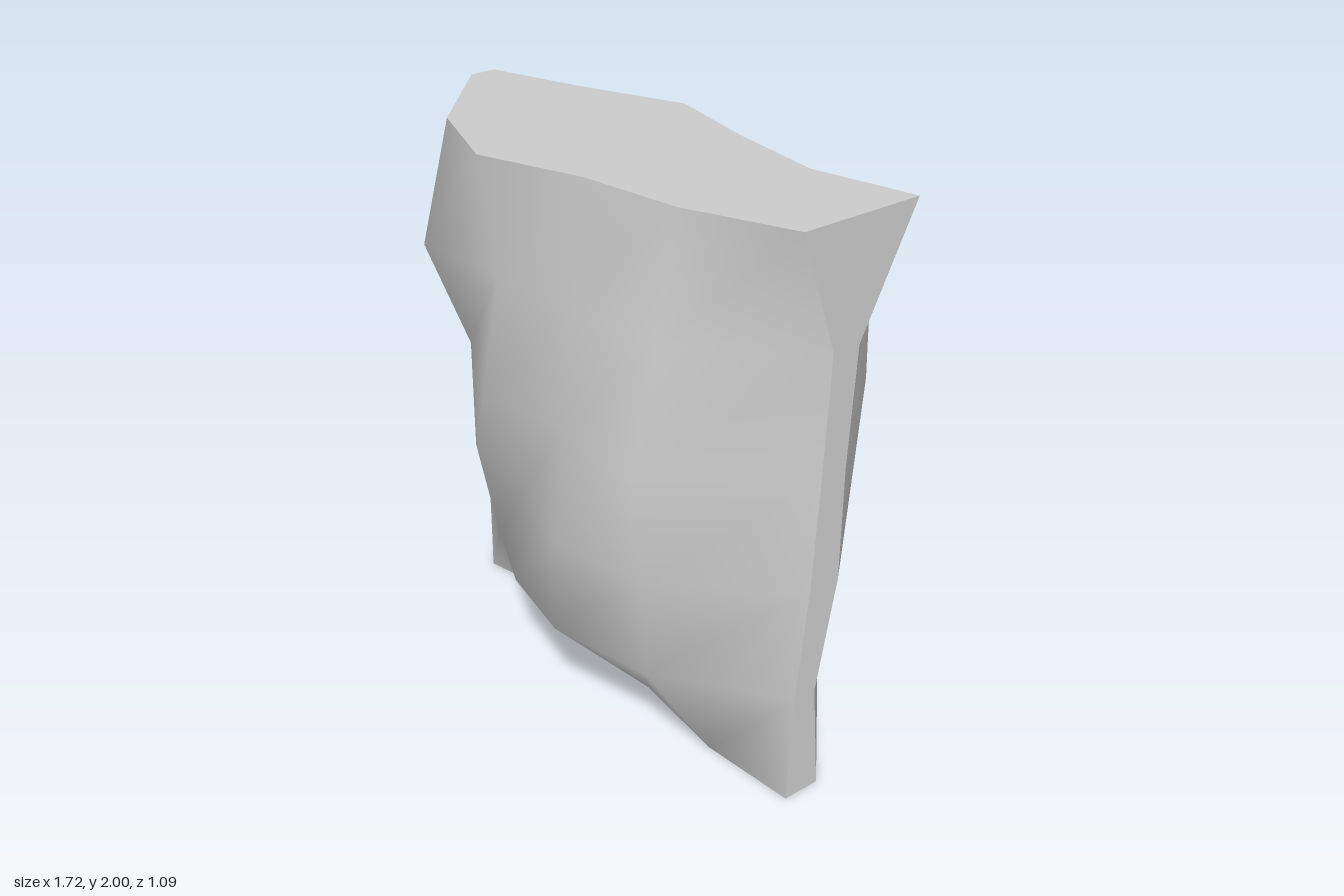
import * as THREE from 'three';

const WIDTH = 1.72, HEIGHT = 2, CELLS = 5;

// Grids of the two broad faces: rows run bottom to top, columns from -x to +x.
// z is the depth of each point, shift its sideways drift (upper rows stay in line).
const FRONT = {
  z: [
    [0.14, 0.055, 0.15, 0.12, 0.15, 0.11],
    [0.135, 0.31, 0.43, 0.48, 0.385, 0.095],
    [0.17, 0.385, 0.4, 0.515, 0.44, 0.055],
    [0.11, 0.38, 0.545, 0.47, 0.48, 0.035],
    [0.11, 0.53, 0.47, 0.445, 0.375, 0.02],
    [0.11, 0.415, 0.52, 0.38, 0.31, 0.155],
  ],
  shift: [
    [0, 0, -0.035, -0.04, 0, 0],
    [0, 0, -0.05, -0.08, -0.05, 0],
    [0, 0, 0, -0.01, 0, 0],
  ],
};
const BACK = {
  z: [
    [-0.055, -0.125, -0.15, -0.17, -0.19, -0.025],
    [0.03, -0.29, -0.43, -0.5, -0.41, 0.01],
    [0.1, -0.36, -0.48, -0.525, -0.485, -0.06],
    [0, -0.375, -0.548, -0.485, -0.505, -0.06],
    [-0.01, -0.36, -0.37, -0.42, -0.465, -0.08],
    [0.02, -0.11, -0.265, -0.21, -0.18, -0.275],
  ],
  shift: [
    [0, 0, -0.05, -0.08, -0.025, 0],
    [0, 0, -0.07, -0.12, -0.09, 0],
    [0, 0, -0.08, -0.17, -0.146, 0],
    [0, 0, -0.028, -0.11, -0.026, 0],
  ],
};

// Normals averaged over both ways of splitting each quad, for even shading.
// Each box side keeps its own vertices: smooth within a side, sharp between sides.
function computeQuadNormals(geometry) {
  const index = geometry.index;
  const bothSplits = [];
  for (let i = 0; i < index.count; i += 6) {
    const [a, b, d, , c] = index.array.slice(i, i + 6);
    bothSplits.push(a, b, d, b, c, d, a, b, c, a, c, d);
  }
  geometry.setIndex(bothSplits);
  geometry.computeVertexNormals();
  geometry.setIndex(index);
}

// Slab with bulging, uneven front and back and straight outer edges.
function bulgingSlab() {
  const geometry = new THREE.BoxGeometry(WIDTH, HEIGHT, 1, CELLS, CELLS, 1);
  geometry.translate(0, HEIGHT / 2, 0);
  const p = geometry.attributes.position;
  for (let i = 0; i < p.count; i++) {
    const column = Math.round((p.getX(i) / WIDTH + 0.5) * CELLS);
    const row = Math.round((p.getY(i) / HEIGHT) * CELLS);
    const face = p.getZ(i) > 0 ? FRONT : BACK;
    p.setX(i, p.getX(i) + (face.shift[row]?.[column] ?? 0));
    p.setZ(i, face.z[row][column]);
  }
  computeQuadNormals(geometry);
  return geometry;
}

export function createModel() {
  const group = new THREE.Group();
  group.name = 'rockSlab';
  const slab = new THREE.Mesh(bulgingSlab(), new THREE.MeshStandardMaterial({ color: 0xcccccc }));
  slab.name = 'slab';
  group.add(slab);
  return group;
}
